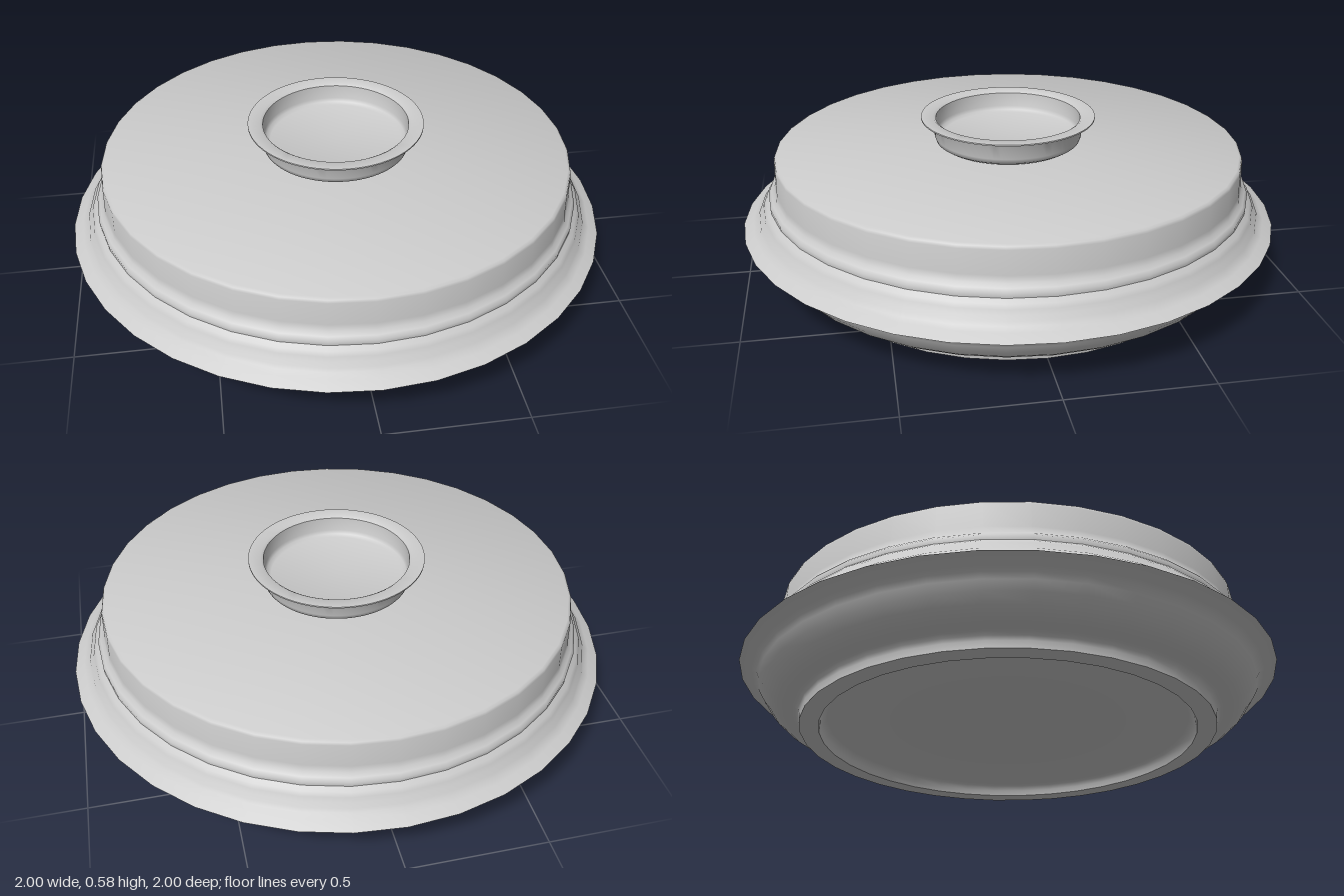
import * as THREE from 'three';
import { toCreasedNormals } from 'three/addons/utils/BufferGeometryUtils.js';

const material = new THREE.MeshStandardMaterial({ color: 0xcccccc });

// Turns a profile of [radius, height] pairs, running from the bottom centre outwards and up
function turned(name, profile, segments) {
  const points = profile.map(([r, y]) => new THREE.Vector2(r, y));
  const geometry = toCreasedNormals(new THREE.LatheGeometry(points, segments), 0.85);
  const mesh = new THREE.Mesh(geometry, material);
  mesh.name = name;
  return mesh;
}

export function createModel() {
  const group = new THREE.Group();
  group.name = 'liddedDish';

  // Shallow bowl: recessed base, foot ring, rounded belly and thin flared lip
  group.add(turned('bowl', [
    [0, 0.045], [0.67, 0.045], [0.685, 0.038], [0.695, 0.02], [0.70, 0],
    [0.77, 0], [0.772, 0.025], [0.778, 0.04], [0.79, 0.05],
    [0.82, 0.054], [0.855, 0.067], [0.885, 0.09], [0.91, 0.12], [0.928, 0.15],
    [0.938, 0.17], [0.955, 0.182], [1, 0.205],
  ], 36));

  // Lid: sloping brim, two stepped rings, upright wall and flat top
  group.add(turned('lid', [
    [1, 0.205], [0.965, 0.225], [0.945, 0.235], [0.94, 0.25], [0.927, 0.262],
    [0.922, 0.28], [0.912, 0.293], [0.898, 0.306], [0.9, 0.323], [0.89, 0.335],
    [0.877, 0.346], [0.873, 0.37], [0.87, 0.455], [0.867, 0.465], [0.858, 0.47],
    [0, 0.474],
  ], 36));

  // Cup-shaped knob with a thin flange and a sunken floor
  group.add(turned('knob', [
    [0.225, 0.472], [0.255, 0.478], [0.27, 0.488], [0.276, 0.505],
    [0.278, 0.56], [0.285, 0.569], [0.325, 0.574], [0.325, 0.579],
    [0.28, 0.579], [0.27, 0.572], [0.266, 0.52], [0.26, 0.506], [0.245, 0.5],
    [0, 0.5],
  ], 72));

  return group;
}
